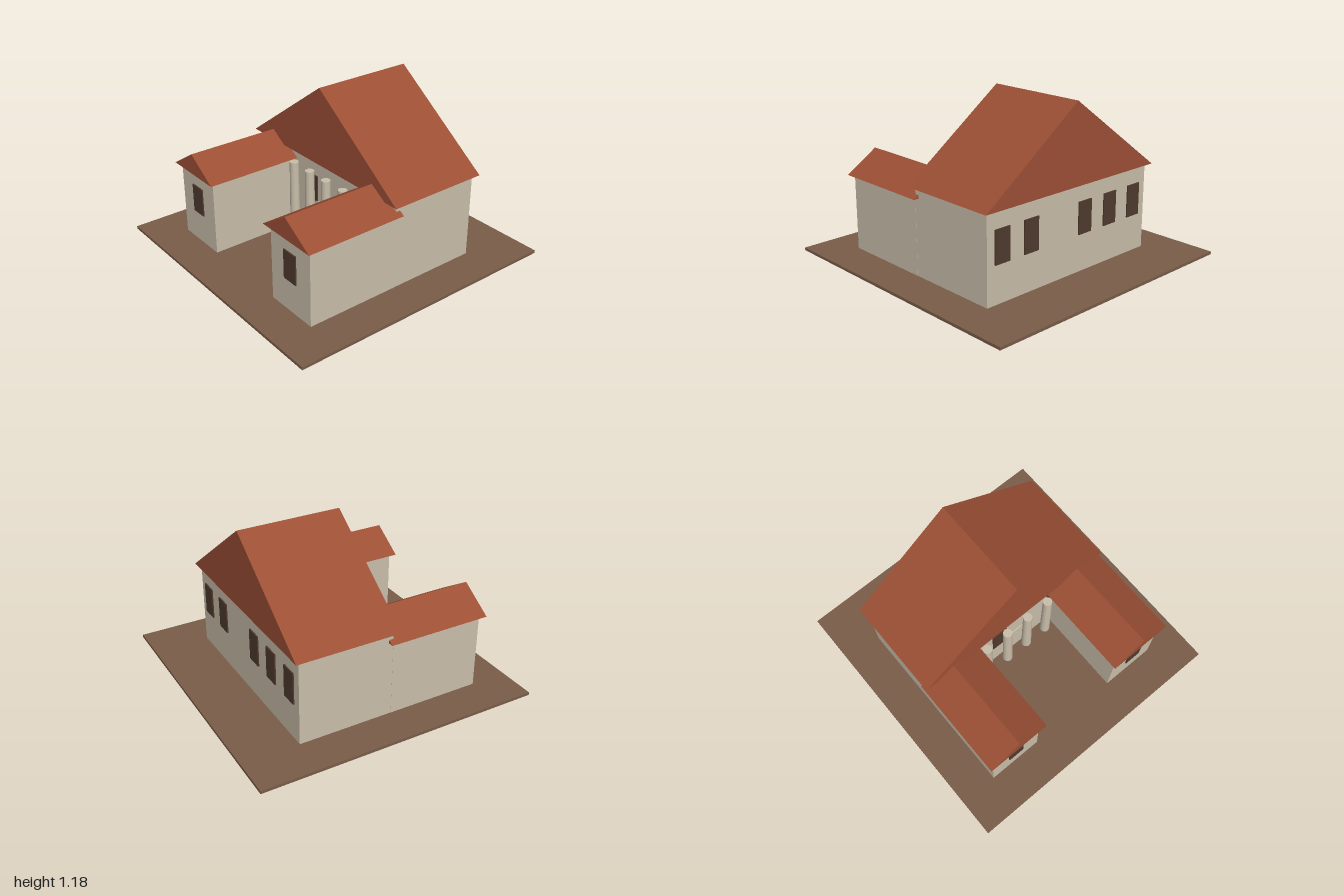
import * as THREE from 'three';

const material = (name, color) => {
  const m = new THREE.MeshStandardMaterial({ color });
  m.name = name;
  return m;
};

export function createModel() {
  const model = new THREE.Group();
  model.name = 'courtyardHouse';
  const stone = material('pale stone', 0xc8bda9);
  const tile = material('terracotta', 0x9c4f35);
  const earth = material('earth', 0x785c48);
  const dark = material('dark wood', 0x4f3a2e);

  const add = (name, geometry, mat, x = 0, y = 0, z = 0) => {
    const mesh = new THREE.Mesh(geometry, mat);
    mesh.name = name;
    mesh.position.set(x, y, z);
    model.add(mesh);
    return mesh;
  };

  // Box given by its limits on each axis
  const box = (name, mat, x0, x1, y0, y1, z0, z1) =>
    add(name, new THREE.BoxGeometry(x1 - x0, y1 - y0, z1 - z0), mat,
      (x0 + x1) / 2, (y0 + y1) / 2, (z0 + z1) / 2);

  // Gable roof: a triangle extruded along z
  const gable = (name, x, halfWidth, y, height, z0, z1) => {
    const s = new THREE.Shape();
    s.moveTo(-halfWidth, 0);
    s.lineTo(halfWidth, 0);
    s.lineTo(0, height);
    s.closePath();
    add(name, new THREE.ExtrudeGeometry(s, { depth: z1 - z0, bevelEnabled: false }), tile, x, y, z0);
  };

  // Ground slab and main hall
  box('ground', earth, -1, 1, 0, 0.02, -1, 1);
  box('hallWalls', stone, -0.73, 0.73, 0.02, 0.625, -0.6, 0.067);
  gable('hallRoof', 0, 0.765, 0.625, 0.555, -0.633, 0.1);

  // Two wings enclosing the front court
  for (const side of [-1, 1]) {
    const x = side * 0.533;
    box('wingWalls', stone, x - 0.198, x + 0.198, 0.02, 0.555, 0.067, 0.735);
    gable('wingRoof', x, 0.234, 0.555, 0.15, 0.035, 0.768);
    box('wingWindow', dark, x - 0.06, x + 0.06, 0.245, 0.45, 0.735, 0.744);
  }

  // Hall windows, front and back
  for (const x of [-0.608, -0.365, -0.122, 0.365, 0.608]) {
    box('backWindow', dark, x - 0.06, x + 0.06, 0.28, 0.505, -0.609, -0.6);
    if (Math.abs(x) < 0.5) box('frontWindow', dark, x - 0.06, x + 0.06, 0.28, 0.505, 0.067, 0.076);
  }

  // Entrance door
  box('door', stone, -0.09, 0.09, 0.02, 0.315, 0.067, 0.076);

  // Tapered portico columns
  for (const x of [-0.267, -0.089, 0.089, 0.267]) {
    add('column', new THREE.CylinderGeometry(0.032, 0.036, 0.535, 20), stone, x, 0.2875, 0.117);
  }
  return model;
}
